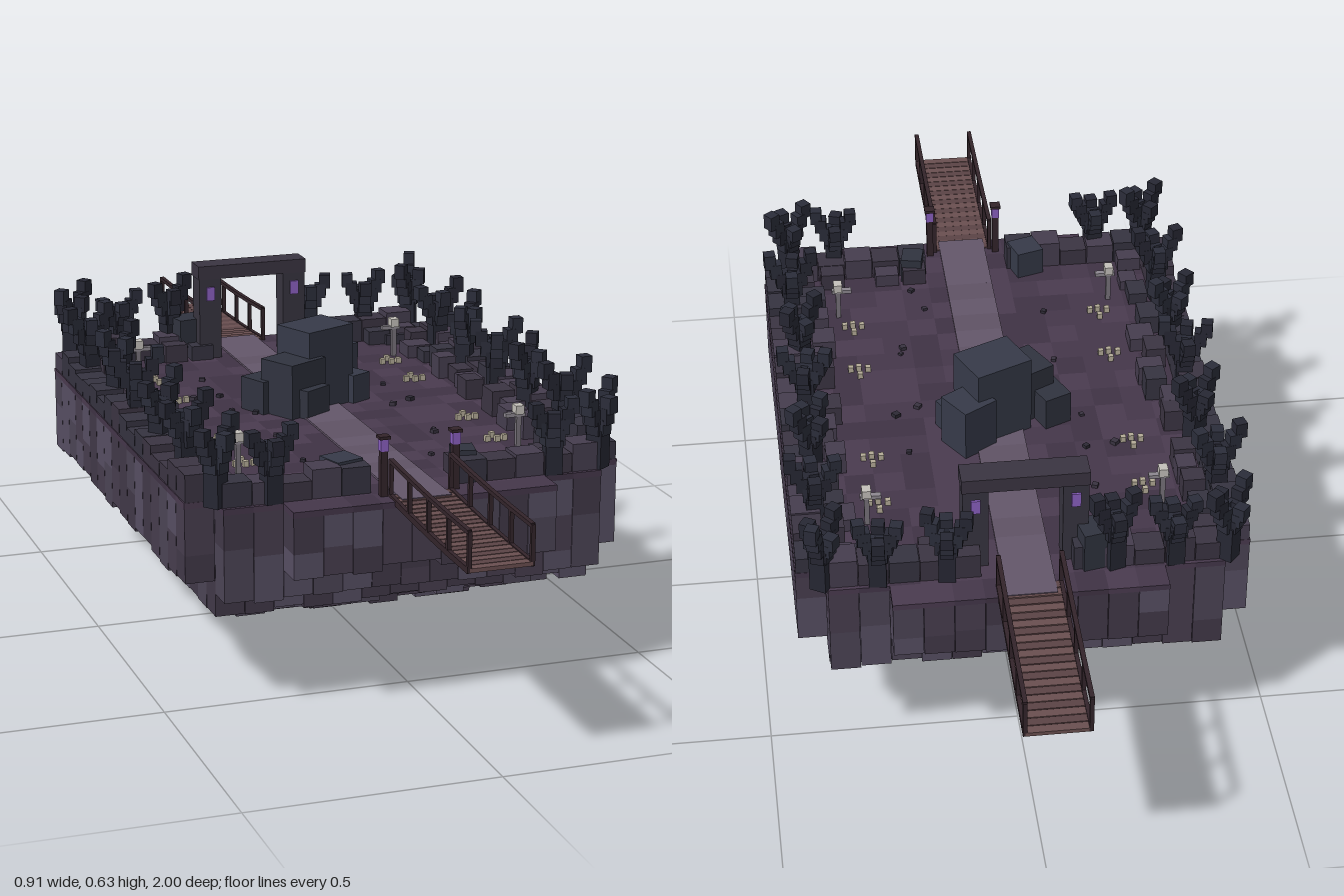
import * as THREE from 'three';
import { mergeGeometries } from 'three/addons/utils/BufferGeometryUtils.js';

const CX = -0.01, CELL = 0.0595, DECK = 0.42;

export function createModel() {
  const root = new THREE.Group();
  const parts = new Map();
  let seed = 7;
  const rnd = (a = 0, b = 1) => {
    seed = (seed * 16807) % 2147483647;
    return a + (b - a) * seed / 2147483647;
  };
  const pick = list => list[Math.floor(rnd() * list.length)];

  // Collects a box (y is its underside) under a part name and colour.
  function box(part, color, w, h, d, x, y, z, ry = 0, rx = 0) {
    const g = new THREE.BoxGeometry(w, h, d);
    g.rotateX(rx).rotateY(ry).translate(x, y + h / 2, z);
    const key = part + '|' + color;
    if (!parts.has(key)) parts.set(key, { part, color, geos: [] });
    parts.get(key).geos.push(g);
  }

  const STONE = [0x4c4455, 0x413848, 0x564e62, 0x473d4e];
  const SOIL = [0x44364a, 0x3f3244, 0x4a3b4f];
  const WALL = [0x453d4e, 0x3b3442, 0x353340];
  const BARK = [0x262733, 0x2b2d3a];
  const ROCK = [0x363a49, 0x30333f];
  const WOOD = 0x33242a, PALE = 0xc4c0ba, GLOW = 0x8a5fc0;

  // Outline of the island, and how deep the rock hangs by distance from the middle.
  const reach = i => [10, 10, 10, 10, 10, 9, 9, 8][Math.abs(i)];
  const depthX = [0.355, 0.345, 0.338, 0.32, 0.303, 0.272, 0.235, 0.172];
  const depthZ = [0.355, 0.347, 0.342, 0.335, 0.322, 0.308, 0.288, 0.262, 0.235, 0.2, 0.135];

  // Stone columns hanging below the deck.
  for (let i = -7; i <= 7; i++) {
    for (let j = -reach(i); j <= reach(i); j++) {
      const x = CX + i * CELL, z = j * CELL;
      const depth = Math.min(depthX[Math.abs(i)], depthZ[Math.abs(j)]) - rnd(-0.003, 0.012);
      const bottom = DECK - depth;
      box('ground', pick(SOIL), CELL, 0.012, CELL, x, DECK - 0.012, z);
      let top = DECK - 0.012;
      while (top > bottom + 0.001) {
        let h = rnd(0.05, 0.1);
        if (top - h < bottom + 0.03) h = top - bottom;
        box('islandStone', pick(STONE), 0.0585, h, 0.0585, x, top - h, z);
        top -= h;
      }
    }
  }
  box('islandTip', STONE[1], 0.12, 0.02, 0.12, CX, 0.06, 0);
  box('islandTip', 0x3a3341, 0.08, 0.07, 0.08, CX, 0, 0);

  // Paved path along the middle.
  for (let j = -10; j <= 10; j++)
    box('path', pick([0x5f5264, 0x63566a]), 0.1, 0.006, CELL, CX, DECK - 0.002, j * CELL);

  // Low broken wall around the edge.
  for (const s of [-1, 1]) {
    for (let j = -8; j <= 8; j++) {
      box('edgeWall', pick(WALL), 0.058, rnd(0.03, 0.058), 0.058, CX + s * 0.415, DECK, j * CELL);
      if (rnd() < 0.75)
        box('edgeWall', pick(WALL), rnd(0.035, 0.055), rnd(0.02, 0.055), rnd(0.04, 0.06),
          CX + s * rnd(0.335, 0.365), DECK, j * CELL + rnd(-0.01, 0.01));
    }
    for (let i = -6; i <= 6; i++) {
      if (Math.abs(i) < 2) continue;
      box('edgeWall', pick(WALL), 0.058, rnd(0.035, 0.062), 0.055, CX + i * CELL, DECK, s * 0.53);
      if (rnd() < 0.5)
        box('edgeWall', pick(WALL), 0.05, rnd(0.025, 0.045), 0.04, CX + i * CELL, DECK, s * 0.485);
    }
  }
  box('edgeRocks', ROCK[1], 0.065, 0.085, 0.06, -0.145, DECK, -0.53, 0.2);
  box('edgeRocks', ROCK[0], 0.06, 0.06, 0.06, -0.14, DECK, 0.5, 0.3);
  box('edgeRocks', ROCK[1], 0.045, 0.055, 0.05, 0.11, DECK, 0.5, -0.2);

  // Dead trees: a thin trunk, two wide arms and two steep ones, stepping up and out.
  function tree(x, z, height, spread, turn) {
    const trunk = height * 0.45;
    box('trees', BARK[0], 0.034, trunk, 0.034, x, DECK, z, turn);
    for (let k = 0; k < 4; k++) {
      const wide = k < 2, steps = wide ? 4 : 3;
      const a = -turn + k * Math.PI + (wide ? 0 : Math.PI / 2) + rnd(-0.25, 0.25);
      const top = height * [1, rnd(0.9, 1), 0.85, 0.75][k];
      const far = wide ? spread : spread * 0.55, rise = (top - trunk) / steps;
      for (let s = 0; s < steps; s++) {
        const r = 0.008 + (far - 0.008) * s / (steps - 1), size = 0.027 - 0.001 * s;
        box('trees', pick(BARK), size, rise + 0.01, size, x + r * Math.cos(a),
          DECK + trunk - 0.01 + s * rise, z + r * Math.sin(a), -a);
      }
    }
  }
  for (const s of [-1, 1]) {
    [0.54, 0.36, 0.18, 0.01, -0.18, -0.36, -0.55].forEach((z, k) =>
      tree(CX + s * rnd(0.385, 0.405), z, rnd(0.168, 0.178), 0.044,
        k % 2 ? rnd(-0.2, 0.2) : rnd(0.6, 1.1)));
    tree(CX - 0.287, s * 0.55, 0.152, 0.04, 0.15);
    tree(CX + 0.288, s * 0.55, 0.152, 0.037, -0.15);
  }
  tree(-0.18, -0.55, 0.176, 0.04, 0.3);
  tree(0.145, -0.55, 0.155, 0.038, -0.1);

  // Pile of boulders across the path.
  const boulders = [[0.125, 0.17, 0.1, 0, -0.07], [0.1, 0.115, 0.09, -0.065, -0.02],
    [0.08, 0.11, 0.08, 0.055, -0.125], [0.06, 0.07, 0.07, -0.12, -0.055],
    [0.05, 0.06, 0.06, 0.08, -0.07], [0.07, 0.06, 0.05, -0.04, 0.012]];
  boulders.forEach(([w, h, d, x, z], k) =>
    box('boulders', ROCK[k % 2], w, h, d, x, DECK, z, 0.42 + (k % 3) * 0.07));

  // Gate at the back, with glowing crystals.
  for (const s of [-1, 1]) {
    const x = CX + s * 0.097;
    box('gatePosts', 0x37343f, 0.05, 0.185, 0.05, x, DECK, -0.5);
    for (const f of [-1, 1])
      box('gateCrystals', GLOW, 0.018, 0.03, 0.008, x, 0.552, -0.5 + f * 0.026);
  }
  box('gateBeam', 0x3a3441, 0.248, 0.03, 0.055, CX, 0.6, -0.5);

  // Lanterns beside the front bridge.
  for (const s of [-1, 1]) {
    const x = CX + s * 0.073;
    box('lanternPosts', WOOD, 0.014, 0.09, 0.014, x, DECK, 0.58);
    box('lanternGlow', GLOW, 0.016, 0.024, 0.016, x, 0.51, 0.58);
    box('lanternCaps', WOOD, 0.022, 0.006, 0.022, x, 0.534, 0.58);
  }

  // Pale lamp posts and flower clusters along both sides.
  for (const s of [-1, 1]) {
    const x = CX + s * 0.294;
    for (const z of [-0.365, 0.36]) {
      box('lampPosts', 0x77727a, 0.01, 0.07, 0.01, x, DECK, z);
      box('lampArms', 0x8d8890, 0.042, 0.008, 0.012, x - s * 0.008, 0.482, z);
      box('lampHeads', PALE, 0.018, 0.018, 0.022, x, 0.488, z);
    }
    for (const z of [-0.315, -0.165, 0.145, 0.305])
      for (const [dx, dz] of [[-0.018, 0.006], [0.018, 0.008], [0, -0.016], [0.001, 0.012]])
        box('flowers', 0xb5ac98, 0.011, 0.012, 0.011, CX + s * 0.266 + dx, DECK, z + dz);
  }

  // Scattered pebbles.
  for (let k = 0; k < 14; k++) {
    const s = rnd(0.008, 0.014);
    box('pebbles', pick([0x2d2a35, 0x383340]), s, s * 0.6, s,
      CX + (k % 2 ? 1 : -1) * rnd(0.07, 0.24), DECK, rnd(-0.45, 0.45), rnd(0, 1.5));
  }

  // Plank bridges at both ends, sinking slightly outwards.
  for (const s of [-1, 1]) {
    const start = 0.59, length = 0.405;
    const level = t => 0.402 + 0.014 * (1 - t) ** 2;
    for (let k = 0; k < 20; k++) {
      const t = (k + 0.5) / 20;
      box('bridgePlanks', k % 2 ? 0x6a4f50 : 0x5b4345, 0.122, 0.008, 0.0185,
        CX, level(t), s * (start + 0.41 * t));
    }
    for (const e of [-1, 1]) {
      const x = CX + e * 0.061;
      for (let k = 0; k < 5; k++) {
        const t = k / 4, z = s * (start + length * t);
        box('bridgePosts', WOOD, 0.008, 0.078, 0.008, x, level(t), z);
        if (k === 4) continue;
        const t2 = (k + 1) / 4, mid = s * (start + length * (t + t2) / 2);
        const rise = level(t2) - level(t), tilt = -s * Math.atan2(rise, length / 4);
        const y = (level(t) + level(t2)) / 2;
        box('bridgeRails', WOOD, 0.009, 0.008, 0.102, x, y + 0.072, mid, 0, tilt);
        box('bridgeBeams', WOOD, 0.008, 0.012, 0.102, x, y - 0.002, mid, 0, tilt);
      }
    }
  }

  for (const { part, color, geos } of parts.values()) {
    const mesh = new THREE.Mesh(mergeGeometries(geos), new THREE.MeshStandardMaterial({ color }));
    mesh.name = part;
    root.add(mesh);
  }
  return root;
}
